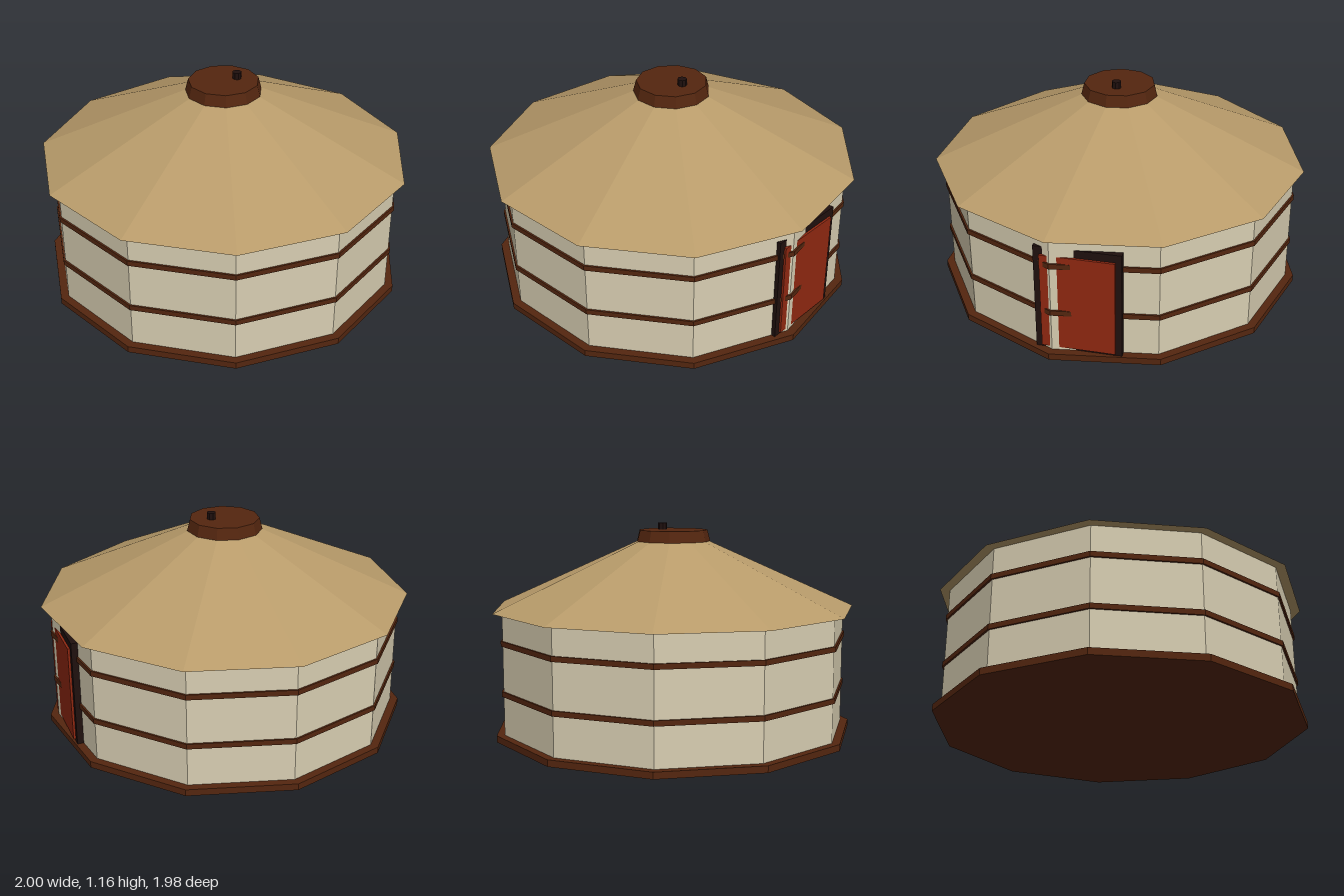
import * as THREE from 'three';

const SIDES = 11;

function makeMaterial(name, color) {
  const m = new THREE.MeshStandardMaterial({ color, flatShading: true });
  m.name = name;
  return m;
}

export function createModel() {
  const canvas = makeMaterial('cream canvas', 0xd8ceb2);
  const thatch = makeMaterial('tan roof cloth', 0xb89b6a);
  const wood = makeMaterial('brown wood', 0x54260f);
  const red = makeMaterial('red door paint', 0x902811);
  const dark = makeMaterial('dark wood', 0x1f100e);

  const tent = new THREE.Group();
  tent.name = 'roundTent';

  function add(name, geometry, material, x, y, z) {
    const mesh = new THREE.Mesh(geometry, material);
    mesh.name = name;
    mesh.position.set(x, y, z);
    tent.add(mesh);
    return mesh;
  }

  // Eleven-sided drum with one corner pointing to the back
  function drum(name, rTop, rBottom, y0, y1, material) {
    const g = new THREE.CylinderGeometry(rTop, rBottom, y1 - y0, SIDES, 1, false, Math.PI);
    add(name, g, material, 0, (y0 + y1) / 2, 0);
  }

  drum('basePlatform', 1.002, 1.002, 0, 0.036, wood);
  drum('wall', 0.958, 0.958, 0.036, 0.7, canvas);
  drum('roof', 0.2, 1.0103, 0.695, 1.06, thatch);
  drum('crown', 0.19, 0.206, 1.06, 1.122, wood);

  // Straps around the wall
  const strapProfile = [[0.95, -0.014], [0.968, -0.014], [0.968, 0.014], [0.95, 0.014]]
    .map(([r, y]) => new THREE.Vector2(r, y));
  for (const [name, y] of [['lowerStrap', 0.262], ['upperStrap', 0.535]]) {
    add(name, new THREE.LatheGeometry(strapProfile, SIDES, Math.PI), wood, 0, y, 0);
  }

  // Doorway on the +x side; the wall corner pokes slightly through it
  add('doorFrame', new THREE.BoxGeometry(0.06, 0.592, 0.445), dark, 0.901, 0.332, 0);
  add('door', new THREE.BoxGeometry(0.04, 0.535, 0.38), red, 0.923, 0.318, 0);

  // Chimney stub on the crown
  add('chimney', new THREE.CylinderGeometry(0.025, 0.025, 0.06, 8), dark, 0.075, 1.128, 0);

  // Centre the odd-sided plan on z = 0
  for (const part of tent.children) part.position.z = 0.0205;

  return tent;
}
